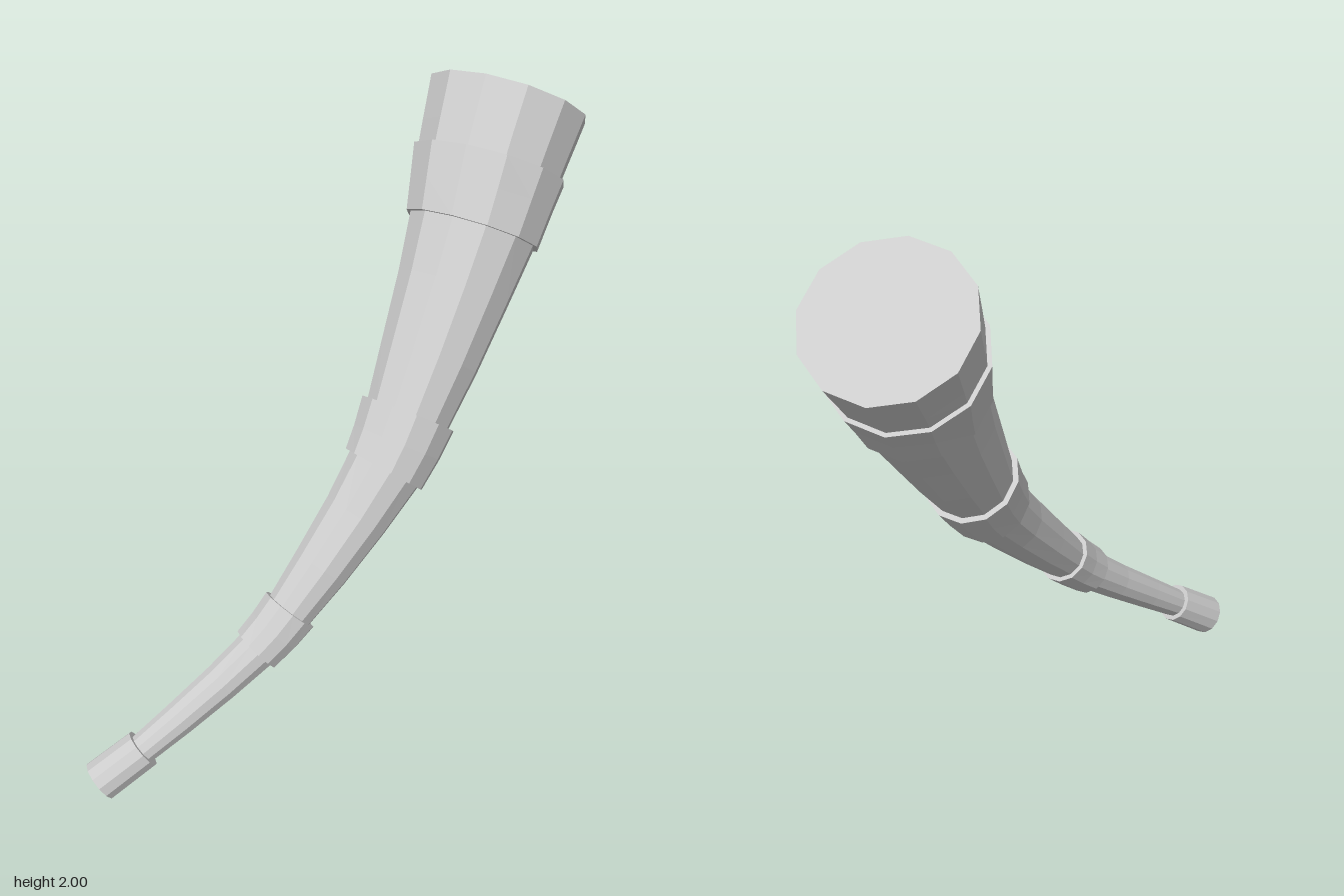
import * as THREE from 'three';

const SIDES = 12;

// Centre line of the horn from mouthpiece to bell, with the tube radius at each station
const stations = [
  [-0.96, 0.06, -0.06, 0.048],
  [-0.83, 0.155, 0.0, 0.05],
  [-0.46, 0.425, 0.125, 0.069],
  [-0.34, 0.53, 0.149, 0.078],
  [0.04, 0.895, 0.171, 0.122],
  [0.16, 1.04, 0.153, 0.137],
  [0.535, 1.505, 0.045, 0.205],
  [0.655, 1.675, -0.005, 0.234],
  [0.785, 1.84, -0.055, 0.257],
];
const LAST = stations.length - 1;
const path = new THREE.CatmullRomCurve3(stations.map(([x, y, z]) => new THREE.Vector3(x, y, z)));
// Direction of the first corner of every ring, close to the normal of the bend
const cornerDir = new THREE.Vector3(-0.2, 0.155, 0.075);

// Tube radius at station s (fractions lie between stations)
function tubeRadius(s) {
  const i = Math.min(Math.floor(s), LAST - 1);
  return THREE.MathUtils.lerp(stations[i][3], stations[i + 1][3], s - i);
}

// Skin a list of [station, radius] rings; a radius of 0 closes the end
function sweep(name, rings, material) {
  const positions = [];
  const index = [];
  for (const [s, r] of rings) {
    const centre = path.getPoint(s / LAST);
    const t = path.getTangent(s / LAST);
    const u = cornerDir.clone().addScaledVector(t, -cornerDir.dot(t)).normalize();
    const v = t.clone().cross(u);
    for (let j = 0; j < SIDES; j++) {
      const a = (j / SIDES) * Math.PI * 2;
      const p = centre.clone().addScaledVector(u, r * Math.cos(a)).addScaledVector(v, r * Math.sin(a));
      positions.push(p.x, p.y, p.z);
    }
  }
  for (let i = 0; i < rings.length - 1; i++) {
    for (let j = 0; j < SIDES; j++) {
      const a = i * SIDES + j;
      const b = i * SIDES + ((j + 1) % SIDES);
      const c = a + SIDES;
      const d = b + SIDES;
      if (rings[i][1] > 0) index.push(a, b, c);
      if (rings[i + 1][1] > 0) index.push(b, d, c);
    }
  }
  const indexed = new THREE.BufferGeometry();
  indexed.setAttribute('position', new THREE.Float32BufferAttribute(positions, 3));
  indexed.setIndex(index);
  const geometry = indexed.toNonIndexed();
  geometry.computeVertexNormals();
  const mesh = new THREE.Mesh(geometry, material);
  mesh.name = name;
  return mesh;
}

export function createModel() {
  const group = new THREE.Group();
  group.name = 'horn';
  const material = new THREE.MeshStandardMaterial({ color: 0xcccccc, flatShading: true });

  // Curved, flaring tube, closed at both ends
  const body = [[0, 0]];
  const steps = LAST * 3;
  for (let i = 0; i <= steps; i++) {
    const s = (i / steps) * LAST;
    body.push([s, tubeRadius(s)]);
  }
  body.push([LAST, 0]);
  group.add(sweep('hornBody', body, material));

  // Mouthpiece cap on the narrow end
  group.add(sweep('mouthpiece', [[0, 0], [0, 0.068], [1, 0.066], [1, 0.045]], material));

  // Raised bands, each between two neighbouring stations
  const bands = [
    ['lowerBand', 2, 0.083, 0.093],
    ['middleBand', 4, 0.137, 0.155],
    ['upperBand', 6, 0.218, 0.248],
  ];
  for (const [name, s, r0, r1] of bands) {
    group.add(sweep(name, [
      [s, tubeRadius(s) * 0.97],
      [s, r0],
      [s + 0.5, (r0 + r1) / 2],
      [s + 1, r1],
      [s + 1, tubeRadius(s + 1) * 0.97],
    ], material));
  }
  return group;
}
